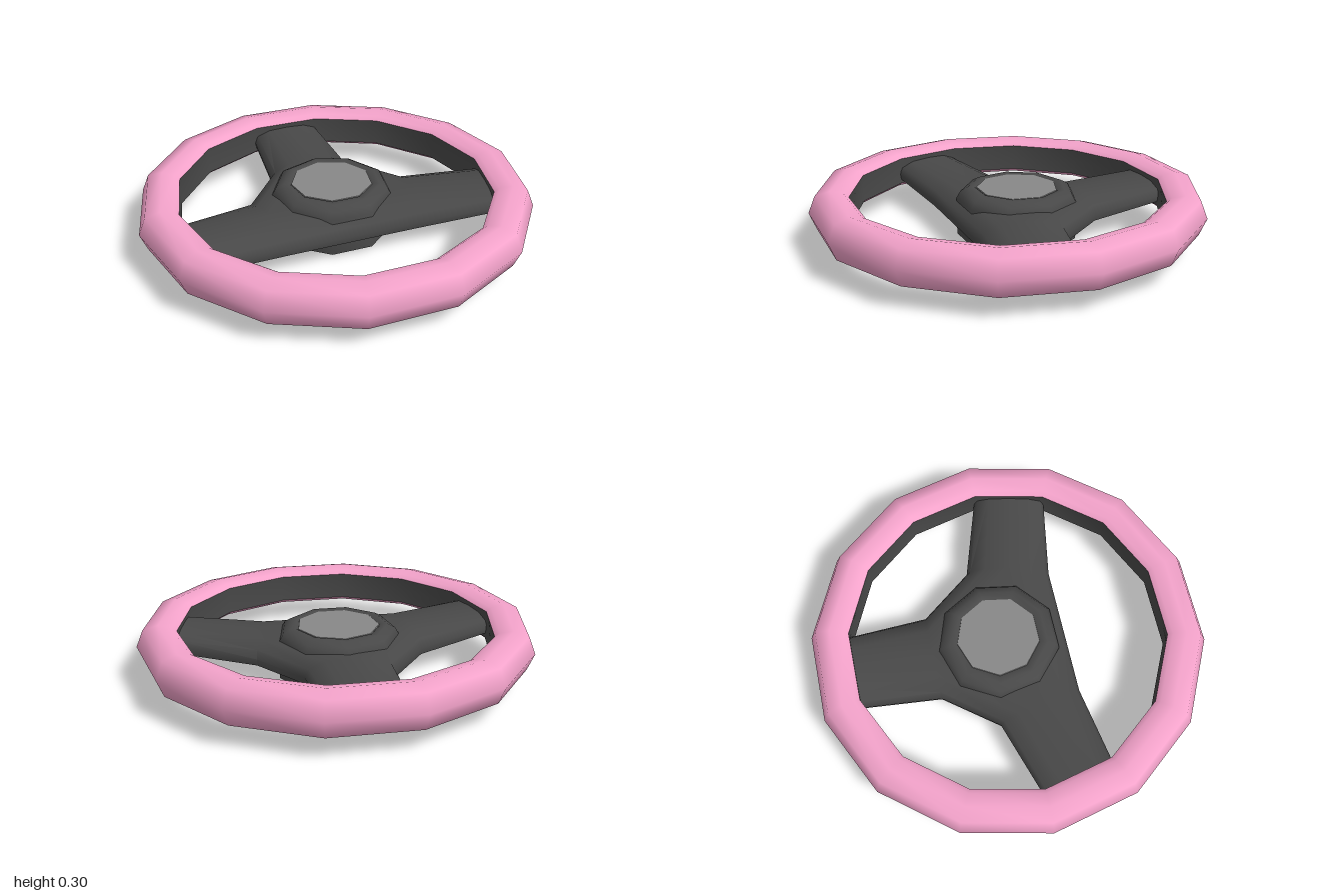
import * as THREE from 'three';
import { toCreasedNormals } from 'three/addons/utils/BufferGeometryUtils.js';

const mat = (color) => new THREE.MeshStandardMaterial({ color, side: THREE.DoubleSide });
const pink = mat(0xf4a3cb), dark = mat(0x484848), grey = mat(0x888888);

// Revolves [radius, height] pairs about the y axis
function turned(name, profile, sides, start, material, crease) {
  const points = profile.map(([r, y]) => new THREE.Vector2(r, y));
  let geometry = new THREE.LatheGeometry(points, sides, start);
  if (crease) geometry = toCreasedNormals(geometry, crease);
  const mesh = new THREE.Mesh(geometry, material);
  mesh.name = name;
  return mesh;
}

// One arched body made of three spokes that meet under the hub
function spokeBody() {
  // Clockwise from above: base, tip, tip, base of each spoke as [x, z]
  const spokes = [
    [[-0.22, -0.39], [-0.18, -0.78], [0.18, -0.78], [0.22, -0.39]],
    [[0.42, -0.13], [0.79, 0], [0.72, 0.347], [0.33, 0.295]],
    [[-0.33, 0.295], [-0.72, 0.347], [-0.79, 0], [-0.42, -0.13]],
  ];
  // Section from ridge over the edge to the hollow underside:
  // [inset towards the spoke axis, height at base, height at tip]
  const section = [
    [1, 0.225, 0.245], [0.45, 0.215, 0.24], [0.1, 0.18, 0.215], [0, 0.14, 0.18],
    [0.03, 0.105, 0.15], [0.2, 0.11, 0.15], [0.6, 0.14, 0.17], [1, 0.15, 0.18],
  ];
  const positions = [], index = [], n = 12;
  for (const [inset, baseY, tipY] of section) {
    for (const s of spokes) {
      s.forEach(([x, z], i) => {
        const [ox, oz] = s[3 - i];
        const tip = i === 1 || i === 2;
        const k = tip ? 1.05 : 1;
        positions.push(
          k * (x + (ox - x) * inset / 2),
          tip ? tipY : baseY,
          k * (z + (oz - z) * inset / 2),
        );
      });
    }
  }
  for (let r = 0; r < section.length - 1; r++) {
    for (let i = 0; i < n; i++) {
      const a = r * n + i, b = r * n + (i + 1) % n;
      index.push(a, b, a + n, b, b + n, a + n);
    }
  }
  // Close the middle above and below
  const last = (section.length - 1) * n;
  index.push(0, 8, 4, last, last + 4, last + 8);
  const geometry = new THREE.BufferGeometry();
  geometry.setAttribute('position', new THREE.Float32BufferAttribute(positions, 3));
  geometry.setIndex(index);
  const mesh = new THREE.Mesh(toCreasedNormals(geometry, 0.9), dark);
  mesh.name = 'spokes';
  return mesh;
}

export function createModel() {
  const group = new THREE.Group();
  group.name = 'steeringWheel';

  // Fourteen-sided rim: padded outside and a flat inner wall
  group.add(turned('rimGrip', [
    [0.80, 0.125], [0.825, 0.105], [0.89, 0.088], [0.965, 0.11], [1.0, 0.196],
    [0.965, 0.282], [0.89, 0.303], [0.825, 0.287], [0.80, 0.267],
  ], 14, Math.PI / 2, pink));
  group.add(turned('rimInnerWall', [[0.80, 0.267], [0.805, 0.196], [0.80, 0.125]], 14, Math.PI / 2, dark));

  group.add(spokeBody());

  // Nine-sided hub, set slightly towards the back
  const hub = new THREE.Group();
  hub.name = 'hub';
  hub.position.z = -0.05;
  hub.add(turned('hubShell', [
    [0.14, 0.05], [0.14, 0.01], [0.16, 0], [0.28, 0], [0.31, 0.02], [0.31, 0.215],
    [0.29, 0.25], [0.25, 0.272], [0.22, 0.272], [0.205, 0.262],
  ], 9, Math.PI, dark, 0.9));
  hub.add(turned('hornButton', [[0.212, 0.255], [0.208, 0.27], [0, 0.27]], 9, Math.PI, grey, 0.5));
  hub.add(turned('shaftSocketFloor', [[0, 0.045], [0.14, 0.045]], 9, Math.PI, grey));
  group.add(hub);
  return group;
}
